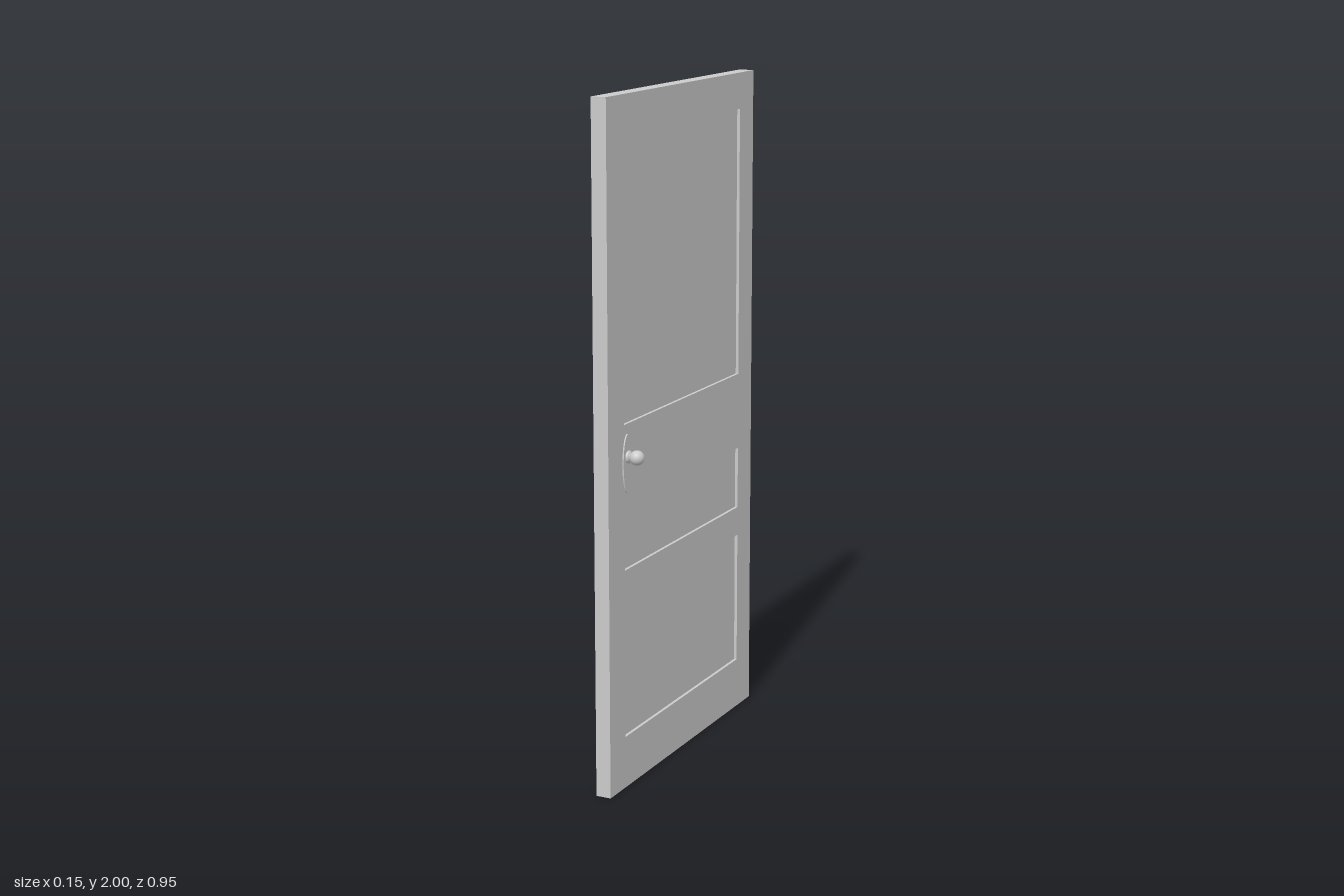
import * as THREE from 'three';

const material = new THREE.MeshStandardMaterial({ color: 0xcccccc });
const H = 2, W = 0.95, T = 0.046, RECESS = 0.009;
const PANEL_W = 0.76;
const PANELS = [[1.08, 1.892], [0.655, 0.845], [0.155, 0.565]]; // bottom and top of each opening

function add(parent, name, geometry) {
  const mesh = new THREE.Mesh(geometry, material);
  mesh.name = name;
  parent.add(mesh);
  return mesh;
}

function rect(target, x0, y0, x1, y1) {
  target.moveTo(x0, y0);
  target.lineTo(x1, y0);
  target.lineTo(x1, y1);
  target.lineTo(x0, y1);
  target.closePath();
  return target;
}

// Knob, rose and backplate, pointing along +x
function createHandle() {
  const handle = new THREE.Group();
  handle.name = 'doorHandle';

  // Thin oval backplate
  const oval = new THREE.Shape().absellipse(0, 0, 0.028, 0.086, 0, Math.PI * 2);
  const plate = new THREE.ExtrudeGeometry(oval, { depth: 0.005, bevelEnabled: false, curveSegments: 32 });
  plate.rotateY(Math.PI / 2).translate(-0.001, -0.02, 0);
  add(handle, 'backplate', plate);

  // Stepped rose and neck, as a turned profile
  const profile = [[0.018, 0], [0.018, 0.008], [0.015, 0.011], [0.01, 0.013], [0.009, 0.02]]
    .map(([r, h]) => new THREE.Vector2(r, h));
  add(handle, 'neck', new THREE.LatheGeometry(profile, 32).rotateZ(-Math.PI / 2));

  // Round knob
  const knob = add(handle, 'knob', new THREE.SphereGeometry(0.0215, 32, 20));
  knob.position.x = 0.032;
  return handle;
}

export function createModel() {
  const door = new THREE.Group();
  door.name = 'door';

  // Stiles and rails as one slab with three openings
  const outline = rect(new THREE.Shape(), -W / 2, 0, W / 2, H);
  for (const [y0, y1] of PANELS) {
    outline.holes.push(rect(new THREE.Path(), -PANEL_W / 2, y0, PANEL_W / 2, y1));
  }
  const frame = new THREE.ExtrudeGeometry(outline, { depth: T, bevelEnabled: false });
  frame.translate(0, 0, -T / 2).rotateY(Math.PI / 2);
  add(door, 'doorFrame', frame);

  // Panels set back from both faces
  for (const [y0, y1] of PANELS) {
    const panel = add(door, 'recessedPanel', new THREE.BoxGeometry(T - 2 * RECESS, y1 - y0, PANEL_W));
    panel.position.y = (y0 + y1) / 2;
  }

  // A handle on each face
  for (const side of [1, -1]) {
    const handle = createHandle();
    handle.position.set(side * T / 2, 0.985, 0.363);
    if (side < 0) handle.rotation.y = Math.PI;
    door.add(handle);
  }
  return door;
}
